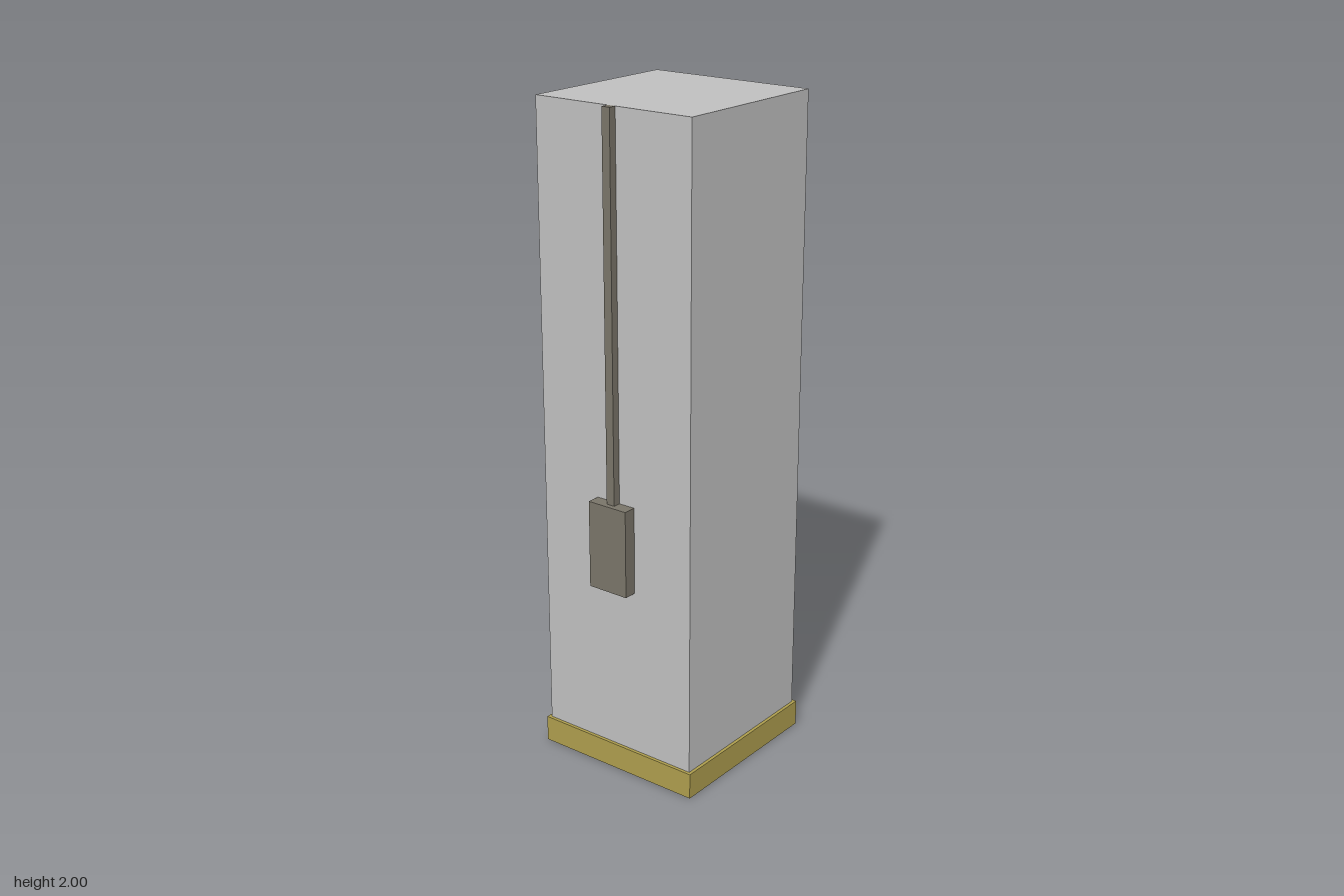
import * as THREE from 'three';

export function createModel() {
  const model = new THREE.Group();
  const concrete = new THREE.MeshStandardMaterial({ name: 'concrete grey', color: 0xc0c0c0 });
  const ochre = new THREE.MeshStandardMaterial({ name: 'ochre', color: 0xae9e4e });
  const metal = new THREE.MeshStandardMaterial({ name: 'dull metal', color: 0x7a7569 });

  // Box given by its minimum and maximum corners
  function box(name, material, [x0, y0, z0], [x1, y1, z1]) {
    const mesh = new THREE.Mesh(new THREE.BoxGeometry(x1 - x0, y1 - y0, z1 - z0), material);
    mesh.position.set((x0 + x1) / 2, (y0 + y1) / 2, (z0 + z1) / 2);
    mesh.name = name;
    model.add(mesh);
  }

  // Square pillar
  const half = 0.267, back = -0.283, front = 0.25;
  box('pillar', concrete, [-half, 0, back], [half, 2, front]);

  // Skirting boards around the foot
  const t = 0.01, h = 0.08;
  box('frontSkirting', ochre, [-half - t, 0, front], [half + t, h, front + t]);
  box('backSkirting', ochre, [-half - t, 0, back - t], [half + t, h, back]);
  box('leftSkirting', ochre, [half, 0, back], [half + t, h, front]);
  box('rightSkirting', ochre, [-half - t, 0, back], [-half, h, front]);

  // Switch box with the conduit running up to the top
  box('switchBox', metal, [-0.067, 0.6, front], [0.067, 0.867, 0.29]);
  box('conduit', metal, [-0.0135, 0.867, front], [0.0135, 2, 0.274]);

  return model;
}
